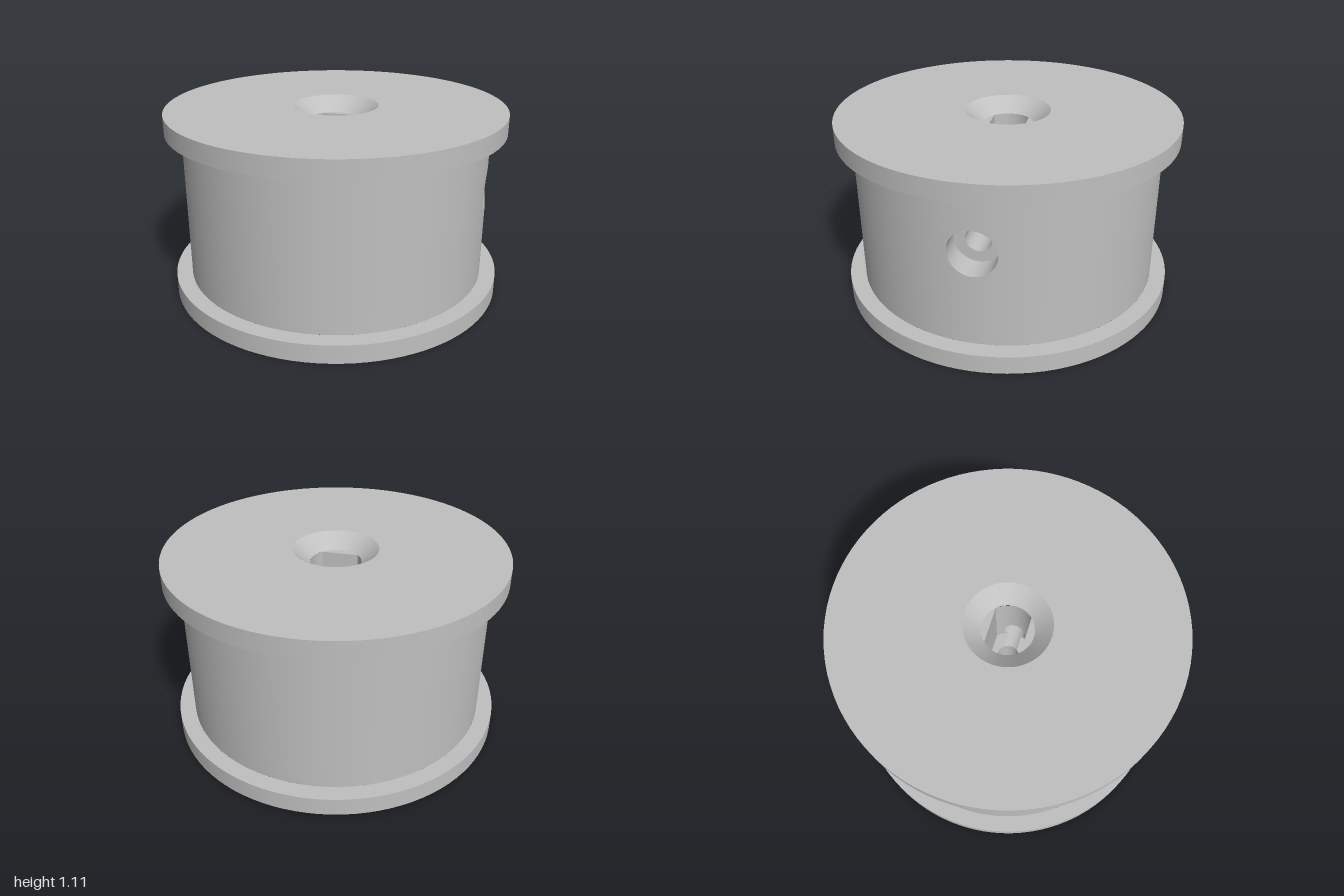
import * as THREE from 'three';

const metal = new THREE.MeshStandardMaterial({ color: 0xc0c0c0 });
metal.name = 'plain grey';

const CORE_R = 0.905, BORE_R = 0.15, PIN_R = 0.065;
const FLAT_Z = 0.105, FLOOR_Y = 0.61, LEDGE_Y = 1.025, TOP_Y = 1.11;
const HOLE_Y = 0.67, HOLE_R = 0.072, COUNTER_R = 0.135, SHOULDER_X = 0.755;

export function createModel() {
  const group = new THREE.Group();
  const add = (name, geometry) => {
    const mesh = new THREE.Mesh(geometry, metal);
    mesh.name = name;
    group.add(mesh);
    return mesh;
  };

  // One straight profile segment turned about y, so edges between segments stay sharp
  const turned = (a, b, start = 0, length = Math.PI * 2) =>
    new THREE.LatheGeometry([new THREE.Vector2(...a), new THREE.Vector2(...b)], 96, start, length);

  // Flanges, countersink and the pin hole
  const segments = [
    ['bottomFace', [PIN_R, 0], [1, 0]],
    ['bottomFlangeRim', [1, 0], [1, 0.11]],
    ['bottomFlangeShelf', [1, 0.11], [CORE_R, 0.11]],
    ['topFlangeUnderside', [CORE_R, 1], [1, 1]],
    ['topFlangeRim', [1, 1], [1, TOP_Y]],
    ['topFace', [1, TOP_Y], [0.25, TOP_Y]],
    ['countersink', [0.25, TOP_Y], [BORE_R, LEDGE_Y]],
    ['pinHole', [PIN_R, FLOOR_Y], [PIN_R, 0]],
  ];
  for (const [name, a, b] of segments) add(name, turned(a, b));

  // Core wall, with the +x sector left to a patch pierced by the side hole
  const coreHalf = Math.asin(0.25 / CORE_R);
  add('coreWall', turned([CORE_R, 0.11], [CORE_R, 1], Math.PI / 2 + coreHalf, 2 * (Math.PI - coreHalf)));
  add('coreHolePatch', piercedPatch(CORE_R, COUNTER_R, 0.25, 0.11, 1, 1));

  // Bore with two flats
  const half = Math.asin(FLAT_Z / BORE_R);
  add('boreWall', turned([BORE_R, LEDGE_Y], [BORE_R, FLOOR_Y], Math.PI * 1.5 - half, 2 * half));
  add('boreHolePatch', piercedPatch(BORE_R, HOLE_R, FLAT_Z, FLOOR_Y, LEDGE_Y, -1));
  for (const side of [0, Math.PI]) {
    const flat = new THREE.PlaneGeometry(2 * BORE_R * Math.cos(half), LEDGE_Y - FLOOR_Y);
    flat.translate(0, (LEDGE_Y + FLOOR_Y) / 2, -FLAT_Z);
    add('boreFlat', flat.rotateY(side));

    const segment = new THREE.Shape();
    segment.absarc(0, 0, BORE_R, half, Math.PI - half, false);
    const ledge = new THREE.ShapeGeometry(segment, 32).rotateX(-Math.PI / 2);
    add('boreLedge', ledge.translate(0, LEDGE_Y, 0).rotateY(side));
  }

  // Bore floor, notched where the side hole grazes it
  const drop = HOLE_Y - FLOOR_Y;
  const notch = Math.sqrt(HOLE_R ** 2 - drop ** 2);
  const a0 = Math.asin(notch / BORE_R), b0 = Math.asin(notch / PIN_R);
  const floor = new THREE.Shape();
  floor.absarc(0, 0, BORE_R, a0, half, false);
  floor.absarc(0, 0, BORE_R, Math.PI - half, Math.PI + half, false);
  floor.absarc(0, 0, BORE_R, -half, -a0, false);
  floor.absarc(0, 0, PIN_R, 2 * Math.PI - b0, b0, true);
  add('boreFloor', new THREE.ShapeGeometry(floor, 32).rotateX(-Math.PI / 2).translate(0, FLOOR_Y, 0));

  // Side hole: turned about x, its ends following the curved walls they meet
  const radial = (name, a, b, outerR, innerR, start, length) => {
    const geometry = turned(a, b, start, length).rotateZ(-Math.PI / 2);
    const p = geometry.attributes.position;
    for (let i = 0; i < p.count; i++) {
      const R = i % 2 === 0 ? outerR : innerR;
      if (R) p.setX(i, Math.sqrt(Math.max(0, R ** 2 - p.getZ(i) ** 2)));
    }
    add(name, geometry.translate(0, HOLE_Y, 0));
  };
  radial('counterbore', [COUNTER_R, 0.9], [COUNTER_R, SHOULDER_X], CORE_R, 0);
  radial('counterboreShoulder', [COUNTER_R, SHOULDER_X], [HOLE_R, SHOULDER_X], 0, 0);
  radial('screwHole', [HOLE_R, SHOULDER_X], [HOLE_R, BORE_R], 0, BORE_R);
  const g = Math.acos(drop / HOLE_R);
  radial('floorGroove', [HOLE_R, BORE_R], [HOLE_R, PIN_R], BORE_R, PIN_R, Math.PI / 2 - g, 2 * g);

  return group;
}

// Sector of a cylinder wall facing +x (sign 1) or inward (sign -1), pierced by a round hole
function piercedPatch(R, r, halfZ, y0, y1, sign) {
  const angles = [];
  for (let i = 0; i < 72; i++) angles.push((i / 72) * Math.PI * 2);
  for (const z of [-halfZ, halfZ])
    for (const y of [y0, y1])
      angles.push((Math.atan2(y - HOLE_Y, z) + Math.PI * 2) % (Math.PI * 2));
  angles.sort((a, b) => a - b);
  angles.push(Math.PI * 2);

  const steps = 10, positions = [], normals = [], index = [];
  angles.forEach((t, i) => {
    const c = Math.cos(t), s = Math.sin(t);
    const reachY = (s > 0 ? y1 - HOLE_Y : HOLE_Y - y0) / Math.max(Math.abs(s), 1e-9);
    const outer = Math.min(halfZ / Math.max(Math.abs(c), 1e-9), reachY);
    const inner = Math.min(r, outer);
    for (let k = 0; k <= steps; k++) {
      const d = inner + ((outer - inner) * k) / steps;
      const z = d * c, x = Math.sqrt(R * R - z * z);
      positions.push(x, HOLE_Y + d * s, z);
      normals.push((sign * x) / R, 0, (sign * z) / R);
      if (i && k) {
        const q = i * (steps + 1) + k, p = q - steps - 1;
        if (sign > 0) index.push(p - 1, q - 1, p, q - 1, q, p);
        else index.push(p - 1, p, q - 1, q - 1, p, q);
      }
    }
  });
  const geometry = new THREE.BufferGeometry();
  geometry.setAttribute('position', new THREE.Float32BufferAttribute(positions, 3));
  geometry.setAttribute('normal', new THREE.Float32BufferAttribute(normals, 3));
  geometry.setIndex(index);
  return geometry;
}
